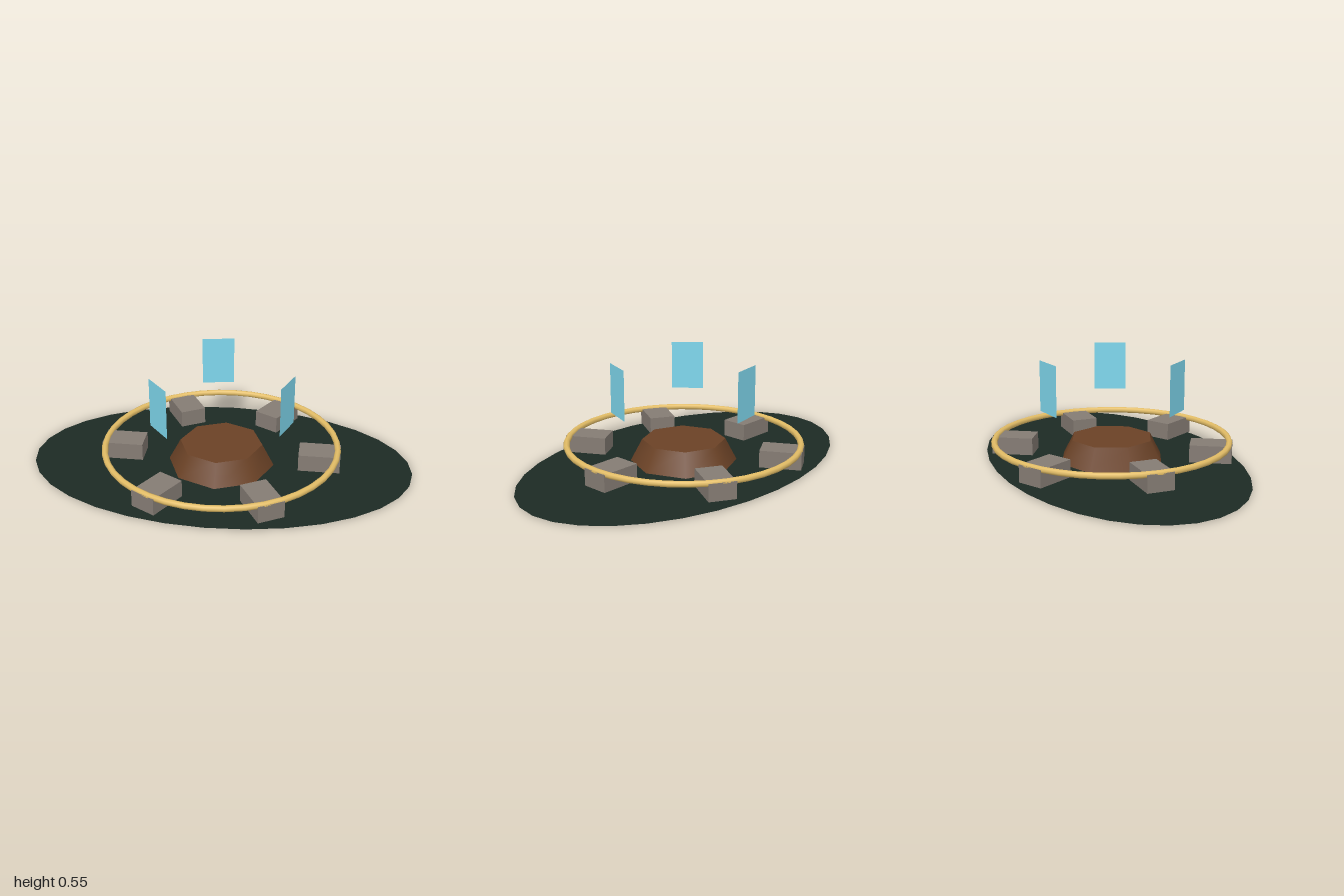
import * as THREE from 'three';

const mat = (color, side = THREE.FrontSide) => new THREE.MeshStandardMaterial({ color, side });

export function createModel() {
  const model = new THREE.Group();
  const add = (name, geometry, material, x = 0, y = 0, z = 0, turn = 0) => {
    const mesh = new THREE.Mesh(geometry, material);
    mesh.name = name;
    mesh.position.set(x, y, z);
    mesh.rotation.y = turn;
    model.add(mesh);
    return mesh;
  };

  // Flat oval ground
  const oval = new THREE.CircleGeometry(1, 32).rotateX(-Math.PI / 2).scale(1, 1, 0.62);
  add('ovalGround', oval, mat(0x1c2a24, THREE.DoubleSide), 0, 0.003, 0);

  // Eight-sided tapered dais in the middle
  add('dais', new THREE.CylinderGeometry(0.217, 0.28, 0.12, 8), mat(0x6b4226), 0, 0.06, 0);

  // Ring resting on the blocks
  const ring = new THREE.TorusGeometry(0.61, 0.0165, 8, 40).rotateX(Math.PI / 2);
  add('ring', ring, mat(0xe3bd66), 0, 0.107, 0);

  // Six stone blocks, long side pointing to the centre
  const block = new THREE.BoxGeometry(0.215, 0.09, 0.14);
  const stone = mat(0x857c74);
  for (let i = 0; i < 6; i++) {
    const a = (i * Math.PI) / 3;
    add('stoneBlock' + (i + 1), block, stone, 0.517 * Math.cos(a), 0.065, 0.517 * Math.sin(a), -a);
  }

  // Three thin floating panels facing outward
  const panel = new THREE.PlaneGeometry(0.172, 0.26);
  const glass = mat(0x7fd8ee, THREE.DoubleSide);
  for (let i = 0; i < 3; i++) {
    const a = THREE.MathUtils.degToRad(20 + 120 * i);
    add('floatingPanel' + (i + 1), panel, glass, 0.37 * Math.cos(a), 0.42, 0.37 * Math.sin(a), Math.PI / 2 - a);
  }

  return model;
}
